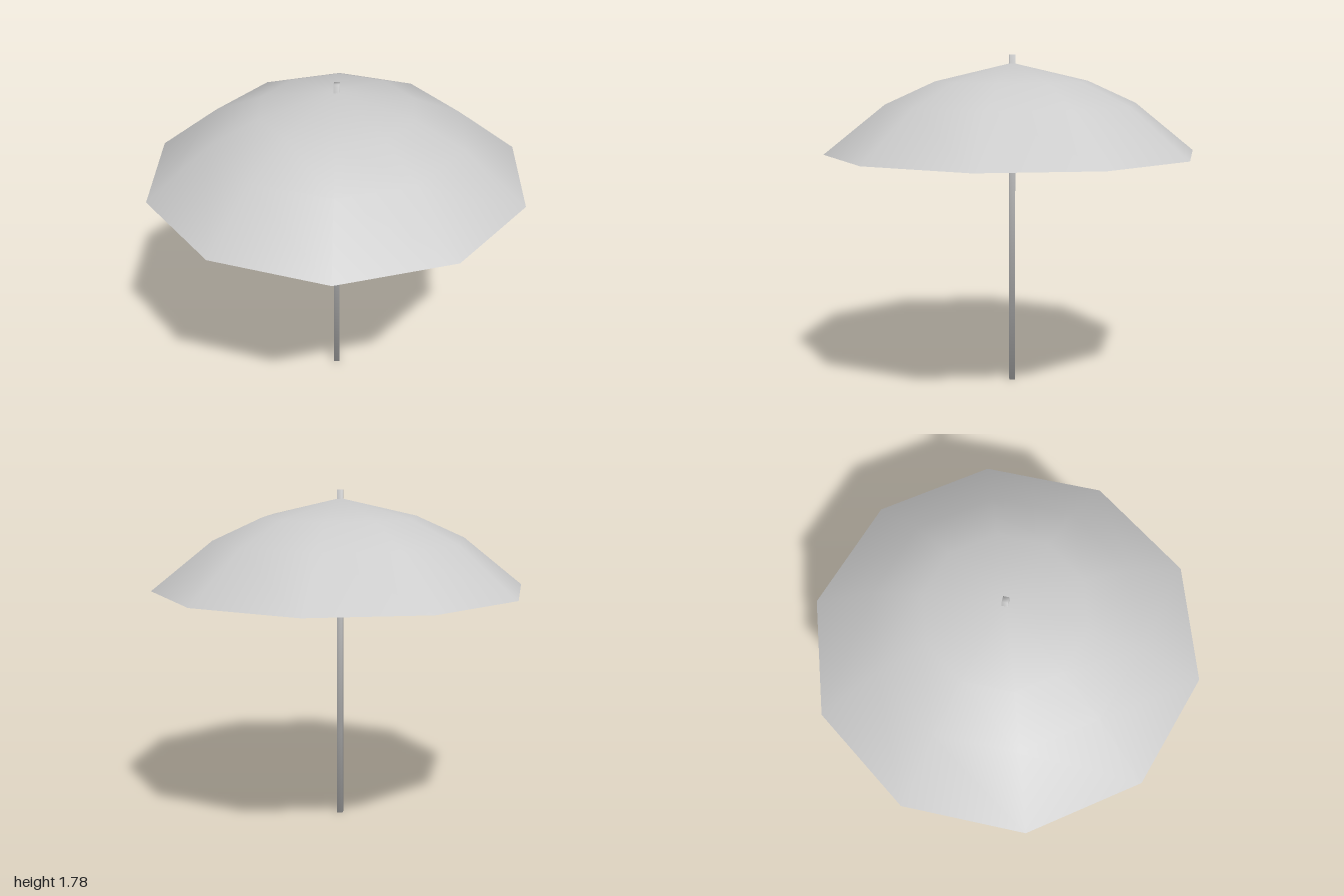
import * as THREE from 'three';

export function createModel() {
  const model = new THREE.Group();
  model.name = 'parasol';

  const canopyGrey = new THREE.MeshStandardMaterial({ color: 0xcccccc, side: THREE.DoubleSide });
  canopyGrey.name = 'light grey';

  // Ten-sided canopy: open shell, smooth normals, corners on the z axis
  const profile = [[1, 1.26], [0.675, 1.52], [0.41, 1.64], [0, 1.736]]
    .map(([r, y]) => new THREE.Vector2(r, y));
  const canopyGeometry = new THREE.LatheGeometry(profile, 10);
  // The peak points straight up so the shading blends across the top
  const cp = canopyGeometry.attributes.position;
  for (let i = 0; i < cp.count; i++) {
    if (cp.getY(i) > 1.73) canopyGeometry.attributes.normal.setXYZ(i, 0, 1, 0);
  }
  const canopy = new THREE.Mesh(canopyGeometry, canopyGrey);
  canopy.name = 'canopy';
  model.add(canopy);

  // Square pole through the peak, with softly averaged corner normals
  const height = 1.78;
  const poleGeometry = new THREE.BoxGeometry(0.03, height, 0.03);
  const pp = poleGeometry.attributes.position;
  const k = 1 / Math.sqrt(3);
  for (let i = 0; i < pp.count; i++) {
    poleGeometry.attributes.normal.setXYZ(i,
      k * Math.sign(pp.getX(i)), k * Math.sign(pp.getY(i)), k * Math.sign(pp.getZ(i)));
  }
  poleGeometry.translate(0, height / 2, 0);
  const pole = new THREE.Mesh(poleGeometry, canopyGrey);
  pole.name = 'pole';
  model.add(pole);

  return model;
}
